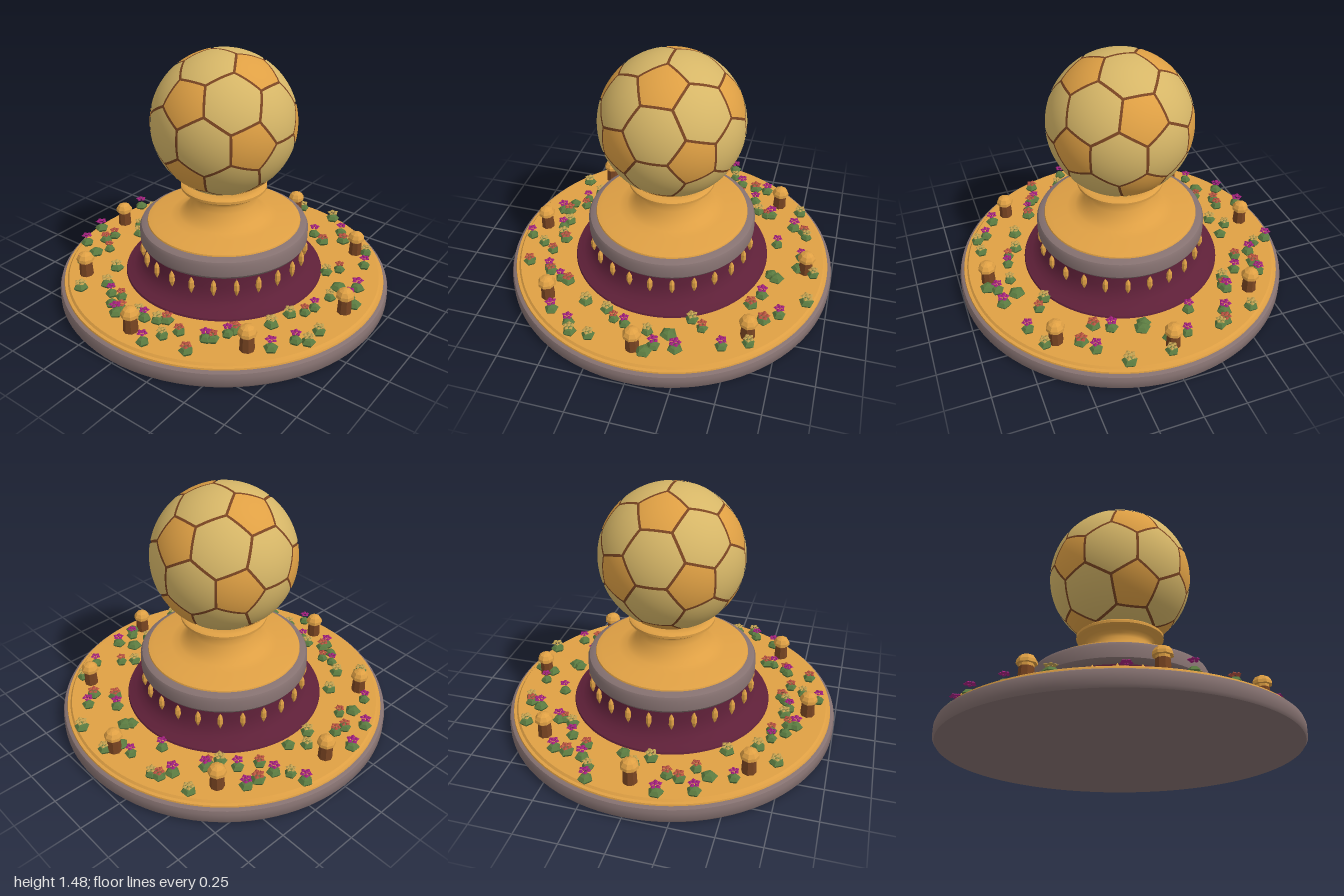
import * as THREE from 'three';
import { mergeGeometries, toCreasedNormals } from 'three/addons/utils/BufferGeometryUtils.js';

const mat = (name, color) => Object.assign(new THREE.MeshStandardMaterial({ color }), { name });
const V = (x, y, z) => new THREE.Vector3(x, y, z);

export function createModel() {
  const model = new THREE.Group();
  model.name = 'ballTrophy';
  const gold = mat('gold', 0xdfa044), cream = mat('paleGold', 0xd6b667), stone = mat('mauveStone', 0x857170);
  const wine = mat('burgundy', 0x5e2038), brown = mat('brown', 0x7a4522), green = mat('leafGreen', 0x5a7a40);
  const magenta = mat('magenta', 0xa0207c), coral = mat('coral', 0xb4503f), sand = mat('sand', 0xc0a050);

  const add = (name, geometry, material) => {
    const mesh = new THREE.Mesh(geometry, material);
    mesh.name = name;
    model.add(mesh);
    return mesh;
  };
  const lathe = (pts, seg = 96, crease = 0.6) =>
    toCreasedNormals(new THREE.LatheGeometry(pts.map(p => new THREE.Vector2(...p)), seg), crease);
  const faceted = g => {
    const f = g.index ? g.toNonIndexed() : g;
    f.computeVertexNormals();
    return f;
  };

  // Stepped plinth
  add('baseRim', lathe([[0, 0], [0.99, 0], [1, 0.015], [1, 0.065], [0.993, 0.085], [0.975, 0.095], [0.9, 0.095]]), stone);
  add('baseTop', lathe([[0.975, 0.093], [0.972, 0.104], [0.955, 0.106], [0.945, 0.118], [0.5, 0.12]]), gold);
  add('drum', lathe([[0.6, 0.118], [0.595, 0.13], [0.55, 0.143], [0.515, 0.165], [0.49, 0.2], [0.475, 0.25], [0.47, 0.33]]), wine);
  add('drumCap', lathe([[0.4, 0.32], [0.475, 0.32], [0.493, 0.328], [0.505, 0.345], [0.505, 0.41],
    [0.495, 0.43], [0.465, 0.445], [0.4, 0.447]]), stone);

  // Flared neck and cup
  add('neck', lathe([[0.46, 0.44], [0.455, 0.453], [0.42, 0.462], [0.32, 0.472], [0.27, 0.483], [0.24, 0.503], [0.215, 0.535],
    [0.197, 0.57], [0.186, 0.605], [0.19, 0.625], [0.205, 0.64], [0.24, 0.65], [0.254, 0.66], [0.254, 0.675], [0.24, 0.685],
    [0.19, 0.685], [0.15, 0.66], [0, 0.65]], 96, 0.8), gold);

  // Ball: seam sphere with pentagon and hexagon panels
  const R = 0.42, centerY = 1.06, phi = (1 + Math.sqrt(5)) / 2;
  const ico = [];
  for (const a of [-1, 1]) for (const b of [-phi, phi]) ico.push(V(a, 0, b), V(b, a, 0), V(0, b, a));
  const near = (a, b) => a !== b && a.distanceTo(b) < 2.1;
  const third = (a, b) => a.clone().lerp(b, 1 / 3);

  const panel = corners => {
    const c = corners.reduce((s, p) => s.add(p), V(0, 0, 0)).divideScalar(corners.length);
    const n = c.clone().normalize();
    const u = corners[0].clone().sub(c).normalize(), w = n.clone().cross(u);
    const angle = p => { const d = p.clone().sub(c); return Math.atan2(d.dot(w), d.dot(u)); };
    const ring = [...corners].sort((p, q) => angle(p) - angle(q)).map(p => p.clone().sub(c).multiplyScalar(0.945).add(c));
    const pos = [], N = 7;
    ring.forEach((p, k) => {
      const q = ring[(k + 1) % ring.length];
      const at = (i, j) => c.clone().addScaledVector(p.clone().sub(c), i / N).addScaledVector(q.clone().sub(c), j / N).setLength(R);
      for (let i = 0; i < N; i++) for (let j = 0; i + j < N; j++) {
        pos.push(...at(i, j), ...at(i + 1, j), ...at(i, j + 1));
        if (i + j < N - 1) pos.push(...at(i + 1, j), ...at(i + 1, j + 1), ...at(i, j + 1));
      }
    });
    const g = new THREE.BufferGeometry();
    g.setAttribute('position', new THREE.Float32BufferAttribute(pos, 3));
    g.setAttribute('normal', new THREE.Float32BufferAttribute(pos.map(x => x / R), 3));
    return g;
  };
  const pentagons = ico.map(v => panel(ico.filter(n => near(v, n)).map(n => third(v, n))));
  const hexagons = [];
  ico.forEach((a, i) => ico.forEach((b, j) => ico.forEach((c, k) => {
    if (i < j && j < k && near(a, b) && near(b, c) && near(a, c))
      hexagons.push(panel([third(a, b), third(b, a), third(b, c), third(c, b), third(c, a), third(a, c)]));
  })));
  add('ballSeams', new THREE.SphereGeometry(R - 0.004, 64, 48), brown).position.y = centerY;
  add('ballPentagons', mergeGeometries(pentagons), gold).position.y = centerY;
  add('ballHexagons', mergeGeometries(hexagons), cream).position.y = centerY;

  // Leaf-shaped drops around the drum
  const drop = faceted(new THREE.LatheGeometry([[0, 0.208], [0.007, 0.222], [0.017, 0.25], [0.016, 0.285], [0.008, 0.305], [0, 0.318]]
    .map(p => new THREE.Vector2(...p)), 6));
  const drops = [];
  for (let i = 0; i < 24; i++) drops.push(drop.clone().translate(0, 0, 0.492).rotateY(i * Math.PI / 12));
  add('drumDrops', mergeGeometries(drops), gold);

  // Eight small lanterns on the base
  const post = faceted(new THREE.CylinderGeometry(0.038, 0.042, 0.085, 8)).translate(0, 0.16, 0);
  const cap = faceted(new THREE.LatheGeometry([[0, 0.195], [0.036, 0.195], [0.036, 0.218], [0.053, 0.218], [0.051, 0.235],
    [0.037, 0.257], [0.014, 0.268], [0, 0.27]].map(p => new THREE.Vector2(...p)), 8));
  const around = g => mergeGeometries([...Array(8)].map((_, i) => g.clone().translate(0, 0, 0.84).rotateY(i * Math.PI / 4)));
  add('lanternPosts', around(post), brown);
  add('lanternCaps', around(cap), gold);

  // Flower bed: x, z pairs in hundredths for each bloom colour
  const beds = [
    ['magentaBlooms', magenta, [-16, -90, -35, -84, 23, -90, 31, -74, -53, -69, 49, -71, 43, -58, -67, -31, 56, -46, 72, -37, 64, -18,
      80, -10, -89, 13, -79, -16, -73, 0, -67, 38, -57, 45, -53, 70, -9, 70, -40, 77, 11, 81, 23, 80, 62, 28, 74, 41, 47, 72]],
    ['coralBlooms', coral, [-25, -77, -18, -76, -32, -67, 32, -64, 41, -72, 53, -45, -66, -24, -75, -16, -67, 11, -71, 23, -81, 36,
      -65, 41, -52, 46, 57, 37, -16, 68, 66, 47, 34, 62, 79, -34]],
    ['sandBlooms', sand, [25, -81, -6, -65, 2, -72, -45, -48, -73, -50, -61, -40, 74, -53, 47, -48, -79, 18, -70, 7, -71, -6, 89, 3,
      88, 27, -36, 59, -22, 62, -37, 83, -26, 83, 5, 72, 27, 57, 61, 66, 81, -30]],
    ['plainBushes', null, [-40, -71, 10, -65, 65, 10, 68, 12, 17, 71, 7, 86, -74, -24, 80, 0]],
  ];
  let seed = 7;
  const rnd = () => (seed = (seed * 16807) % 2147483647) / 2147483647;
  const bush = faceted(new THREE.LatheGeometry([[0.03, 0.118], [0.04, 0.134], [0.024, 0.153], [0, 0.162]]
    .map(p => new THREE.Vector2(...p)), 5));
  const petal = faceted(new THREE.OctahedronGeometry(0.014, 0)).scale(1, 0.65, 1);
  const bloom = mergeGeometries([petal.clone().translate(0, 0.006, 0),
    ...[0, 1, 2, 3, 4].map(i => petal.clone().translate(0.02, 0, 0).rotateY(i * Math.PI * 0.4))]);
  const bushes = [];
  for (const [name, material, spots] of beds) {
    const blooms = [];
    for (let i = 0; i < spots.length; i += 2) {
      const x = spots[i] / 100, z = spots[i + 1] / 100, turn = rnd() * 6.28, size = 0.85 + 0.3 * rnd();
      const place = g => g.rotateY(turn).translate(x, 0, z);
      bushes.push(place(bush.clone().scale(size * (material ? 1 : 1.15), 1, size * (material ? 1 : 1.15))));
      const lift = material === magenta ? 0.182 : 0.167;
      if (material) blooms.push(place(bloom.clone().scale(size, 1, size).translate(0, lift + 0.01 * rnd(), 0)));
    }
    if (material) add(name, mergeGeometries(blooms), material);
  }
  add('bushes', mergeGeometries(bushes), green);
  return model;
}
